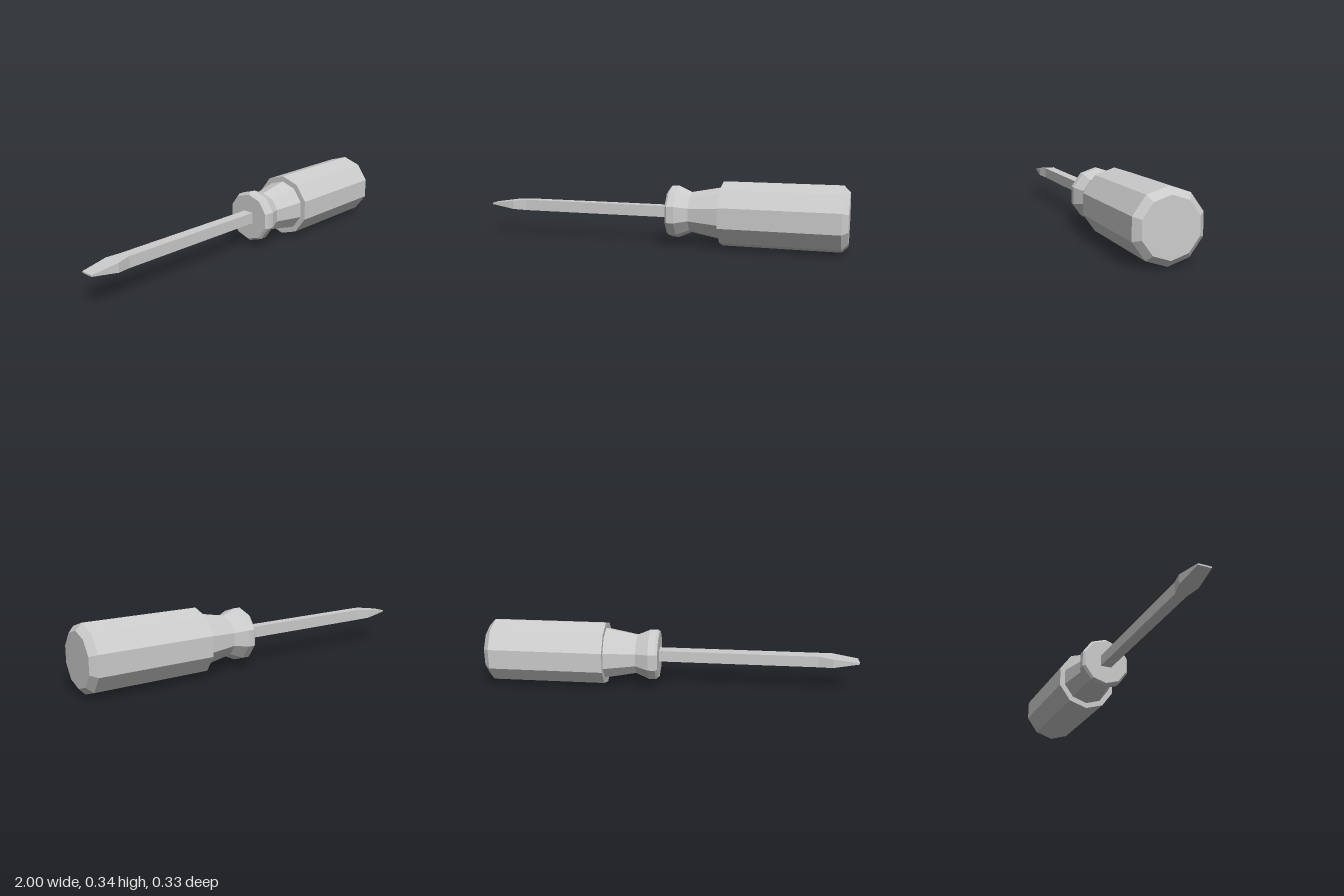
import * as THREE from 'three';

const AXIS_Y = 0.172; // height of the tool's long axis

export function createModel() {
  const group = new THREE.Group();
  group.name = 'screwdriver';
  const material = new THREE.MeshStandardMaterial({ color: 0xcccccc, flatShading: true });

  const add = (name, geometry) => {
    const mesh = new THREE.Mesh(geometry, material);
    mesh.name = name;
    mesh.position.y = AXIS_Y;
    group.add(mesh);
  };

  // Ten-sided solid turned about the x axis from [x, radius] pairs
  const turned = (profile) => {
    const points = profile.map(([x, r]) => new THREE.Vector2(r, x));
    return new THREE.LatheGeometry(points, 10, Math.PI / 2).rotateZ(-Math.PI / 2).toNonIndexed();
  };

  // Collar: bevelled rim, pinched waist, flare into the grip
  add('collar', turned([
    [0.065, 0], [0.065, 0.128], [0.078, 0.14], [0.115, 0.14],
    [0.185, 0.109], [0.355, 0.141],
  ]));

  // Grip: wide handle with a bevelled butt end
  add('grip', turned([
    [0.355, 0], [0.355, 0.172], [0.968, 0.172], [1, 0.139], [1, 0],
  ]));

  // Blade: square shaft, widened and flattened towards the tip [x, half height, half width]
  const stations = [
    [-1, 0.004, 0.034], [-0.86, 0.024, 0.048], [-0.785, 0.03, 0.03], [0.08, 0.03, 0.03],
  ];
  const blade = new THREE.BoxGeometry(3, 2, 2, 3, 1, 1);
  const pos = blade.attributes.position;
  for (let i = 0; i < pos.count; i++) {
    const [x, h, w] = stations[Math.round(pos.getX(i) + 1.5)];
    pos.setXYZ(i, x, pos.getY(i) * h, pos.getZ(i) * w);
  }
  blade.computeVertexNormals();
  add('blade', blade);

  return group;
}
